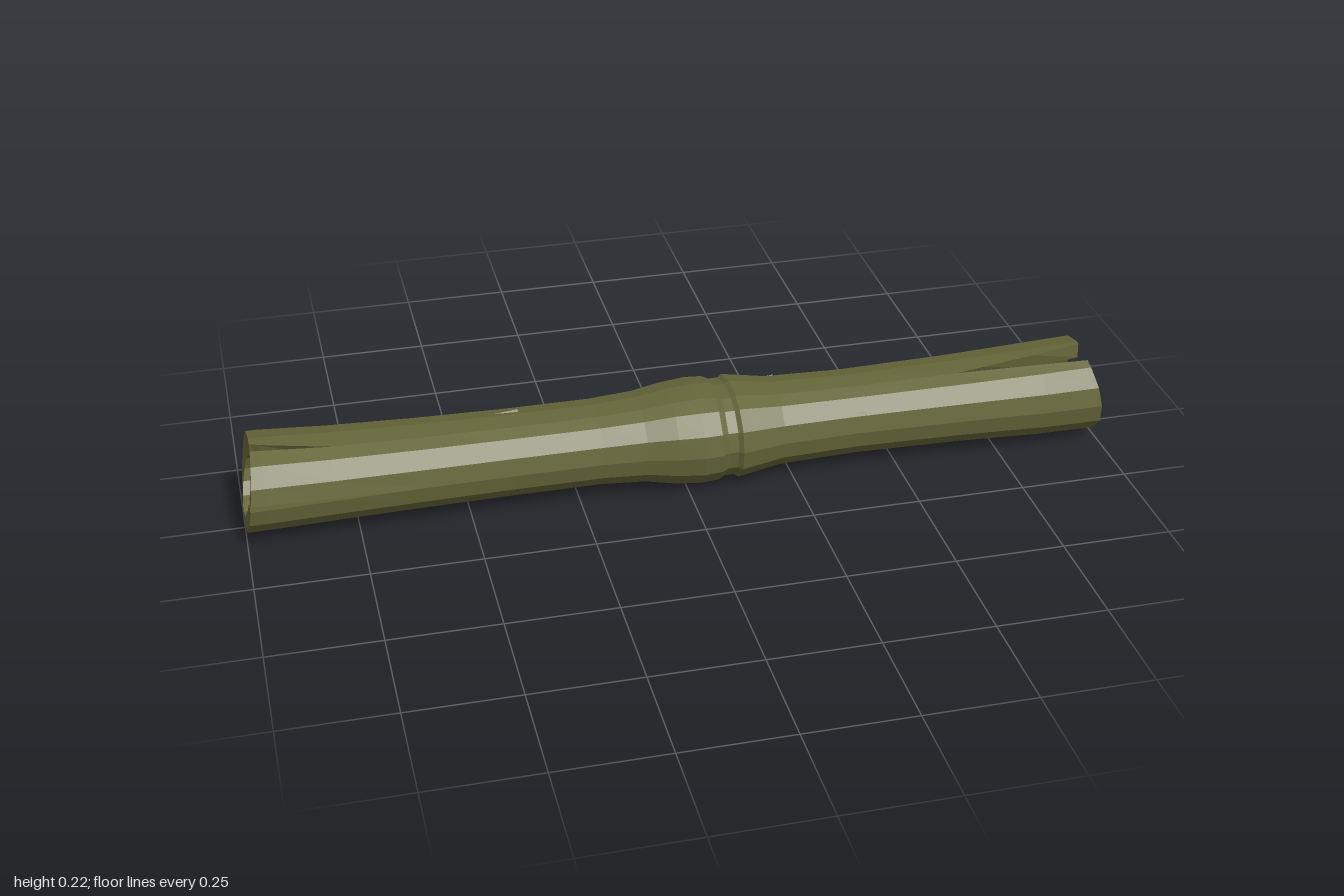
import * as THREE from 'three';

const rad = THREE.MathUtils.degToRad;

// Stations along the stalk: x, half height, half depth, centre y
const stations = [
  [-1, 0.1, 0.124, 0.119], [-0.95, 0.1, 0.124, 0.119], [-0.8, 0.095, 0.117, 0.118], [-0.6, 0.091, 0.111, 0.116],
  [-0.4, 0.089, 0.107, 0.115], [-0.2, 0.089, 0.107, 0.115], [-0.1, 0.095, 0.113, 0.115],
  [-0.03, 0.107, 0.126, 0.114], [0.03, 0.111, 0.134, 0.114], [0.07, 0.109, 0.131, 0.114],
  [0.085, 0.102, 0.123, 0.114], [0.108, 0.102, 0.123, 0.114], [0.118, 0.108, 0.131, 0.114],
  [0.16, 0.102, 0.123, 0.114], [0.22, 0.093, 0.112, 0.114], [0.4, 0.089, 0.106, 0.114],
  [0.65, 0.092, 0.112, 0.114], [0.72, 0.094, 0.115, 0.114], [0.85, 0.098, 0.121, 0.114], [1, 0.1, 0.125, 0.114],
];

// Angles of the lengthwise ridges, from the top (0) towards the front (90)
const ridges = [20, 38, 64, 90, 115, 142, 180, 218, 245, 270, 296, 322, 352];

// Splits: ridge index, tip x, end x, and the edge shifts at the open end
const splits = [
  { ridge: 0, tip: 0.65, end: 1, low: -23, high: 8 },
  { ridge: 9, tip: 0.72, end: 1, low: -6, high: 7 },
  { ridge: 0, tip: -0.8, end: -1, low: -16, high: -3 },
  { ridge: 3, tip: -0.6, end: -1, low: -5, high: 3 },
];

function opening(j, x) {
  for (const s of splits) {
    const t = (x - s.tip) / (s.end - s.tip);
    if (s.ridge === j && t > 0) return [s.low * t, s.high * t];
  }
  return [0, 0];
}

// Point on the outer or inner skin
function skin(i, deg, inner) {
  const [x, h, d, cy] = stations[i];
  const a = rad(deg), c = Math.cos(a), s = Math.sin(a);
  let px = x;
  if (i === 0) px += 0.014 * (1 + c);
  if (i === stations.length - 1) px -= 0.012 * (1 + c) + 0.004 * (1 + Math.sin(3 * a));
  const square = 1 + 0.05 * Math.sin(2 * a) ** 2;
  const end = Math.abs(x) > 0.9 ? 0.004 : 0;
  const ry = inner ? 0.064 + end : h * square;
  const rz = inner ? 0.064 + end * 2 : d * square;
  return [px, (inner ? 0.11 : cy) + ry * c, rz * s - end];
}

// Hollow wall made of strips between ridges, opened along the splits
function stalkGeometry() {
  const pos = [];
  const quad = (a, b, c, d) => pos.push(...a, ...b, ...c, ...a, ...c, ...d);
  const n = ridges.length, last = stations.length - 1;
  for (let j = 0; j < n; j++) {
    const k = (j + 1) % n;
    const wrap = k === 0 ? 360 : 0;
    const row = (i) => {
      const x = stations[i][0];
      const start = ridges[j] + opening(j, x)[1];
      const stop = ridges[k] + wrap + opening(k, x)[0];
      return {
        o0: skin(i, start, false), o1: skin(i, stop, false),
        i0: skin(i, start, true), i1: skin(i, stop, true),
        open0: opening(j, x)[1] !== 0, open1: opening(k, x)[0] !== 0,
      };
    };
    for (let i = 0; i < last; i++) {
      const p = row(i), q = row(i + 1);
      quad(p.o0, p.o1, q.o1, q.o0);
      quad(p.i0, q.i0, q.i1, p.i1);
      if (p.open0 || q.open0) quad(p.o0, q.o0, q.i0, p.i0);
      if (p.open1 || q.open1) quad(p.o1, p.i1, q.i1, q.o1);
    }
    const l = row(0), r = row(last);
    quad(l.o0, l.i0, l.i1, l.o1);
    quad(r.o0, r.o1, r.i1, r.i0);
  }
  const g = new THREE.BufferGeometry();
  g.setAttribute('position', new THREE.Float32BufferAttribute(pos, 3));
  g.computeVertexNormals();
  return g;
}

export function createModel() {
  const group = new THREE.Group();
  group.name = 'hollowStalk';
  const olive = new THREE.MeshStandardMaterial({ color: 0x66663a, flatShading: true, side: THREE.DoubleSide });
  olive.name = 'olive';

  const stalk = new THREE.Mesh(stalkGeometry(), olive);
  stalk.name = 'stalkWall';
  group.add(stalk);

  // Small splinters lying on the skin: station index, angle, length
  const chips = [[4, 342, 0.06], [14, 318, 0.04], [15, 300, 0.05], [4, 285, 0.06], [3, 250, 0.04], [15, 60, 0.03]];
  for (const [i, deg, length] of chips) {
    const chip = new THREE.Mesh(new THREE.ConeGeometry(0.006, length, 4), olive);
    chip.name = 'splinter';
    chip.position.set(...skin(i, deg, false));
    chip.position.y += (0.114 - chip.position.y) * 0.03;
    chip.position.z *= 0.97;
    chip.rotation.z = Math.PI / 2;
    group.add(chip);
  }
  return group;
}
